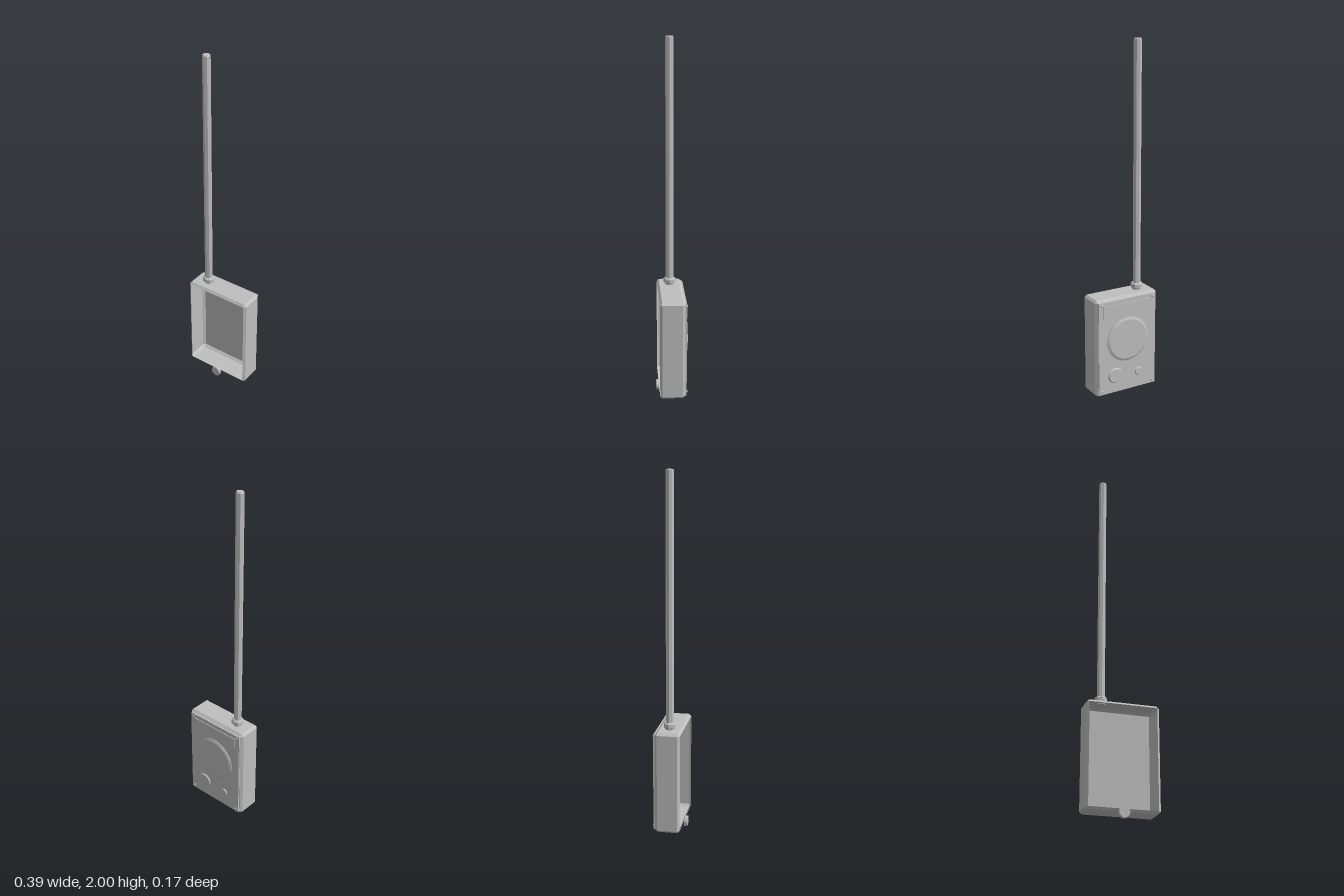
import * as THREE from 'three';

export function createModel() {
  const model = new THREE.Group();
  const grey = new THREE.MeshStandardMaterial({ color: 0xbfbfbf });
  grey.name = 'plainGrey';
  grey.flatShading = true;
  grey.side = THREE.DoubleSide;

  const add = (name, geometry, x = 0, y = 0, z = 0) => {
    const mesh = new THREE.Mesh(geometry, grey);
    mesh.name = name;
    mesh.position.set(x, y, z);
    model.add(mesh);
    return mesh;
  };

  // Round button whose base sits at z and which rises towards the back
  const button = (name, x, y, z, radius, height, bevel, sides) => {
    const g = new THREE.CylinderGeometry(radius - bevel, radius, height, sides);
    g.rotateX(-Math.PI / 2);
    add(name, g, x, y, z - height / 2);
  };

  // Rectangle with its four corners cut, counter-clockwise
  const ring = (w, h, cut, z) => [
    [w, -h + cut, z], [w, h - cut, z], [w - cut, h, z], [-w + cut, h, z],
    [-w, h - cut, z], [-w, -h + cut, z], [-w + cut, -h, z], [w - cut, -h, z],
  ];

  // Bevelled case, open at the front and closed at the back
  const W = 0.197, H = 0.2875, C = 0.013;
  const rings = [
    ring(W - C, H - C, 0, 0.072),
    ring(W, H, C, 0.06),
    ring(W, H, C, -0.053),
    ring(W - C, H - C, 0, -0.068),
  ];
  const points = [];
  for (let i = 0; i < rings.length - 1; i++) {
    for (let j = 0; j < 8; j++) {
      const k = (j + 1) % 8;
      const a = rings[i][j], b = rings[i][k], c = rings[i + 1][k], d = rings[i + 1][j];
      points.push(a, d, b, b, d, c);
    }
  }
  const last = rings[rings.length - 1];
  for (let j = 1; j < 7; j++) points.push(last[0], last[j + 1], last[j]);
  const shell = new THREE.BufferGeometry();
  shell.setAttribute('position', new THREE.Float32BufferAttribute(points.flat(), 3));
  shell.computeVertexNormals();
  add('caseShell', shell, 0, 0.3225, 0);

  // Back panel and its label strip
  add('backPanel', new THREE.BoxGeometry(0.364, 0.55, 0.008), 0, 0.3225, -0.072);
  add('labelStrip', new THREE.BoxGeometry(0.304, 0.07, 0.004), 0, 0.538, -0.078);

  // Speaker disc and two knobs
  button('speakerBase', 0, 0.357, -0.076, 0.13, 0.004, 0, 32);
  button('speakerDisc', 0, 0.357, -0.08, 0.13, 0.006, 0.014, 32);
  button('largeKnob', 0.08, 0.15, -0.076, 0.045, 0.007, 0.006, 20);
  button('smallKnob', -0.073, 0.142, -0.076, 0.024, 0.006, 0.004, 16);

  // Corner screws
  for (const x of [-0.163, 0.163]) {
    for (const y of [0.066, 0.582]) button('screw', x, y, -0.076, 0.009, 0.005, 0.004, 8);
  }

  // Antenna with a bevelled eight-sided collar
  const profile = [[0, 0.606], [0.026, 0.606], [0.026, 0.616], [0.034, 0.622],
    [0.034, 0.642], [0.027, 0.65], [0.022, 0.65]].map(p => new THREE.Vector2(...p));
  add('antennaCollar', new THREE.LatheGeometry(profile, 8), -0.105, 0, 0.002);
  add('antennaRod', new THREE.CylinderGeometry(0.022, 0.022, 1.386, 8), -0.105, 1.301, 0.002);
  add('antennaTip', new THREE.CylinderGeometry(0.019, 0.022, 0.006, 8), -0.105, 1.997, 0.002);

  // Front latch at the bottom edge
  const latch = new THREE.CylinderGeometry(0.029, 0.029, 0.013, 16).rotateX(Math.PI / 2);
  add('latchDisc', latch, 0, 0.031, 0.0785);
  add('latchStem', new THREE.BoxGeometry(0.02, 0.034, 0.01), 0, 0.017, 0.07);

  return model;
}
